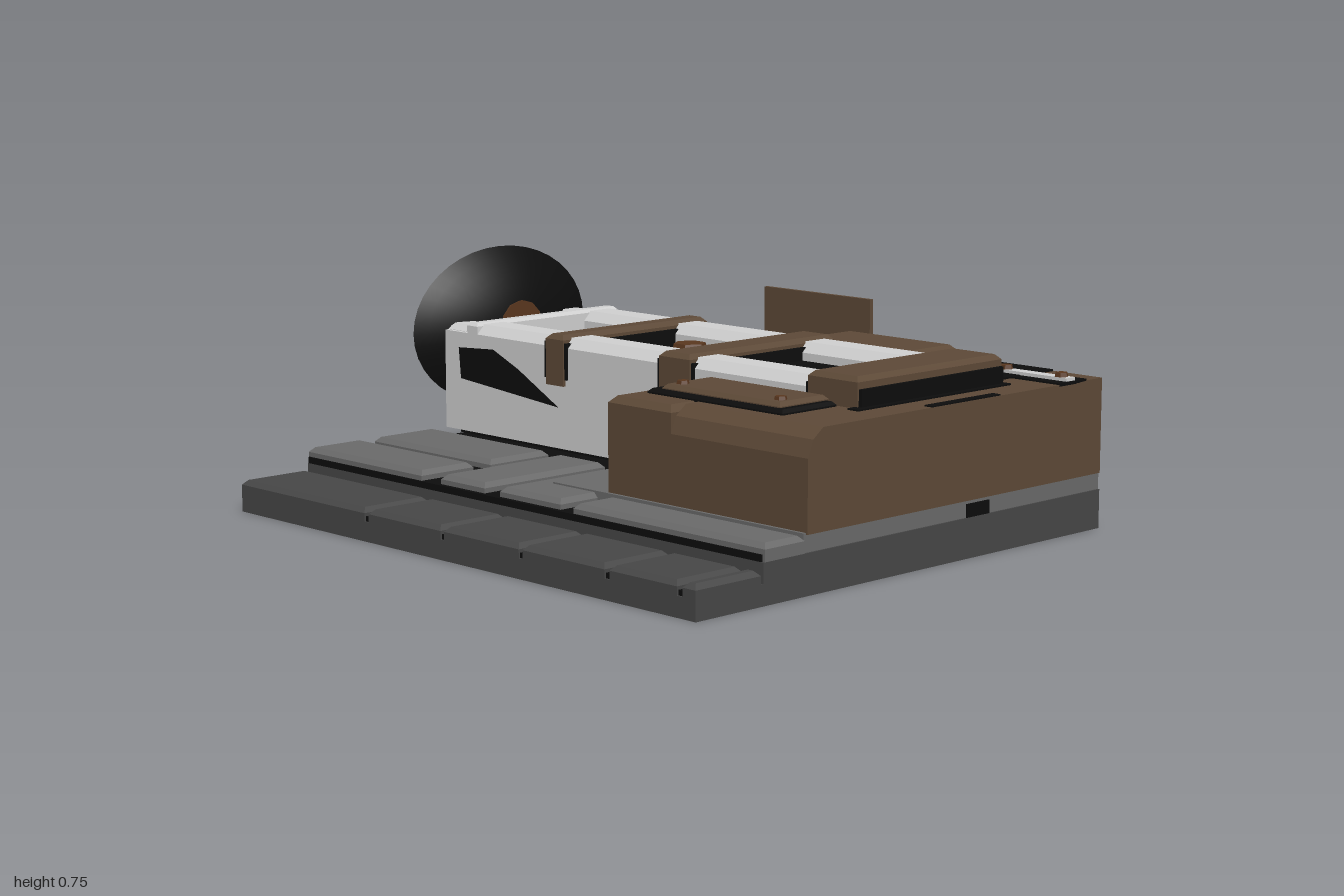
import * as THREE from 'three';

const mat = (name, color, side = THREE.FrontSide) => {
  const m = new THREE.MeshStandardMaterial({ color, side });
  m.name = name;
  return m;
};

export function createModel() {
  const group = new THREE.Group();
  const black = mat('black', 0x0d0d0d, THREE.DoubleSide);
  const curbGrey = mat('curb grey', 0x474747);
  const tileGrey = mat('tile grey', 0x6a6a6a);
  const brown = mat('brown', 0x5d4937);
  const white = mat('white', 0xd0d0d0);
  const rust = mat('rust', 0x5a371f);

  const add = (name, geo, material) => {
    const mesh = new THREE.Mesh(geo, material);
    mesh.name = name;
    group.add(mesh);
    return mesh;
  };

  // Box given by its limits, with an optional chamfer round the top
  const block = (name, material, x0, x1, y0, y1, z0, z1, b = 0) => {
    const w = x1 - x0, h = y1 - y0, d = z1 - z0;
    let g = new THREE.BoxGeometry(w, h, d, 1, b ? 2 : 1, 1);
    if (b) {
      const p = g.attributes.position;
      for (let i = 0; i < p.count; i++) {
        const y = p.getY(i);
        if (Math.abs(y) < 1e-6) p.setY(i, h / 2 - b);
        else if (y > 0) {
          p.setX(i, p.getX(i) - Math.sign(p.getX(i)) * b);
          p.setZ(i, p.getZ(i) - Math.sign(p.getZ(i)) * b);
        }
      }
      g = g.toNonIndexed();
      g.computeVertexNormals();
    }
    g.translate((x0 + x1) / 2, (y0 + y1) / 2, (z0 + z1) / 2);
    return add(name, g, material);
  };

  // Hexagonal bolt head standing on y
  const bolt = (x, y, z, r, h) => {
    const g = new THREE.CylinderGeometry(r * 0.85, r, h, 6).toNonIndexed();
    g.computeVertexNormals();
    add('bolt', g.translate(x, y + h / 2, z), rust);
  };

  // Ground slab: low curb strip and raised paving bed
  block('baseSlab', curbGrey, -0.855, 0.855, 0, 0.06, -1, 1);
  block('raisedSlab', curbGrey, -0.6, 0.855, 0.06, 0.12, -1, 1);
  block('curbJoint', black, -0.85, -0.6, 0.06, 0.075, -0.99, 0.99);
  block('pavingJoint', black, -0.6, 0.85, 0.12, 0.14, -0.995, 0.99);

  // Curb stones
  const curbs = [[-1, -0.39], [-0.37, -0.04], [-0.025, 0.3], [0.315, 0.65], [0.67, 0.93], [0.95, 1]];
  for (const [z0, z1] of curbs) block('curbStone', curbGrey, -0.855, -0.61, 0.06, 0.1, z0, z1, 0.015);

  // Paving stones
  const tiles = [
    [-0.595, -0.39, -1, -0.44], [-0.33, -0.09, -1, -0.43], [-0.585, -0.1, -0.36, -0.16],
    [-0.585, -0.1, -0.09, 0.175], [-0.595, -0.44, 0.24, 1], [0.53, 0.61, -1, -0.05],
    [0.67, 0.855, -1, -0.05],
  ];
  for (const [x0, x1, z0, z1] of tiles) block('pavingStone', tileGrey, x0, x1, 0.12, 0.17, z0, z1, 0.015);
  block('frontLedge', tileGrey, -0.44, 0.855, 0.12, 0.175, -0.02, 0.995);
  block('frontVent', black, 0.24, 0.34, 0.12, 0.16, 0.98, 0.999);

  // Brown housing with a chamfered left shoulder
  const outline = new THREE.Shape([
    [-0.43, 0.17], [0.855, 0.17], [0.855, 0.46], [-0.37, 0.46], [-0.41, 0.43], [-0.43, 0.38],
  ].map(([x, y]) => new THREE.Vector2(x, y)));
  const frontGeo = new THREE.ExtrudeGeometry(outline, { depth: 0.53, bevelEnabled: false });
  add('housing', frontGeo.translate(0, 0, 0.47), brown);
  block('housingLeft', brown, -0.43, -0.08, 0.17, 0.46, 0.21, 0.47, 0.02);
  block('housingRight', brown, 0.5, 0.85, 0.17, 0.45, 0, 0.47);
  block('sideBox', brown, 0.55, 0.855, 0.2, 0.5, -0.02, 0.43, 0.015);
  block('sidePanel', brown, 0.84, 0.855, 0.17, 0.61, -0.39, 0.08);

  // Recessed dark areas on the housing top
  block('rightDeck', black, 0.55, 0.848, 0.455, 0.466, 0.43, 0.82);
  block('rightDeckFront', black, 0.65, 0.78, 0.455, 0.465, 0.82, 1);
  block('frontSeam', black, -0.12, 0.55, 0.455, 0.465, 0.86, 0.9);
  block('frontNotch', black, 0.08, 0.38, 0.455, 0.464, 0.97, 0.999);
  block('coverSeat', black, -0.32, -0.1, 0.455, 0.475, 0.26, 0.8, 0.01);

  // Cover plate and white strip with bolts
  block('coverPlate', brown, -0.3, -0.1, 0.47, 0.49, 0.3, 0.77, 0.012);
  for (const z of [0.34, 0.73]) bolt(-0.255, 0.488, z, 0.02, 0.012);
  block('whiteStrip', white, 0.69, 0.73, 0.46, 0.475, 0.45, 0.995);
  for (const z of [0.53, 0.75, 0.96]) bolt(0.71, 0.473, z, 0.022, 0.015);

  // Dark core of the ladder frame
  block('frameCore', black, -0.07, 0.52, 0.17, 0.42, -0.88, 0.47);
  block('frameWell', black, 0.07, 0.41, 0.42, 0.475, 0.2, 0.7);

  // Rails with white side walls and dark wedges
  const wedge = new THREE.Shape([
    [0.39, 0.31], [0.86, 0.35], [0.87, 0.45], [0.7, 0.46], [0.58, 0.41],
  ].map(([z, y]) => new THREE.Vector2(z, y)));
  for (const s of [-1, 1]) {
    const xo = 0.225 + s * 0.305, xi = 0.225 + s * 0.16;
    const [a, b] = s < 0 ? [xo, xi] : [xi, xo];
    block('rail', white, a, b, 0.38, 0.53, -0.83, 0.7, 0.03);
    const wall = xo - s * 0.015;
    block('railWall', white, Math.min(wall, xo), Math.max(wall, xo), 0.18, 0.5, -0.94, 0.05);
    block('railEnd', white, a + 0.02, b - 0.02, 0.2, 0.52, -0.955, -0.8, 0.02);
    const w = add('railRecess', new THREE.ShapeGeometry(wedge), black);
    w.rotation.y = Math.PI / 2;
    w.position.x = xo + s * 0.003;
  }

  // Crossbars
  const bars = [[brown, 0.68, 0.87, 0.55], [brown, 0.07, 0.2, 0.54], [brown, -0.44, -0.36, 0.54]];
  for (const [m, z0, z1, top] of bars) {
    block('crossbar', m, -0.09, 0.54, 0.38, top, z0, z1, 0.015);
    for (const z of [z0, z1]) block('barGasket', black, -0.085, 0.535, 0.4, 0.515, z - 0.012, z + 0.012);
  }
  block('middleSupport', brown, -0.09, 0.54, 0.18, 0.4, 0.07, 0.2);
  block('rearCrossbar', white, -0.08, 0.535, 0.42, 0.535, -0.83, -0.78, 0.01);

  // Centre block with dark recess and hex bolt
  block('centreBlock', brown, 0.11, 0.37, 0.4, 0.48, -0.26, 0.04, 0.015);
  const recess = new THREE.CircleGeometry(0.1, 8).rotateX(-Math.PI / 2);
  add('centreRecess', recess.translate(0.235, 0.483, -0.13), black);
  bolt(0.235, 0.48, -0.13, 0.06, 0.03);
  block('rearPlate', white, 0.1, 0.25, 0.42, 0.44, -0.78, -0.61);
  block('rearStrip', white, 0.33, 0.37, 0.42, 0.44, -0.88, -0.61);

  // Shallow rear bowl, open to the back
  const profile = [];
  for (let i = 0; i <= 8; i++) {
    const t = i / 8;
    profile.push(new THREE.Vector2(0.372 * t, 0.11 * (1 - t * t)));
  }
  const bowl = new THREE.LatheGeometry(profile, 40).rotateX(Math.PI / 2);
  bowl.scale(1, 0.7, 1);
  add('rearBowl', bowl.translate(0.208, 0.485, -1), black);

  // Hub inside the bowl
  const hub = new THREE.CylinderGeometry(0.09, 0.07, 0.08, 12).rotateX(Math.PI / 2);
  add('hub', hub.translate(0.208, 0.485, -0.93), rust);
  const cap = new THREE.SphereGeometry(0.07, 12, 8).scale(1, 1, 0.5);
  add('hubCap', cap.translate(0.208, 0.485, -0.965), rust);

  return group;
}
